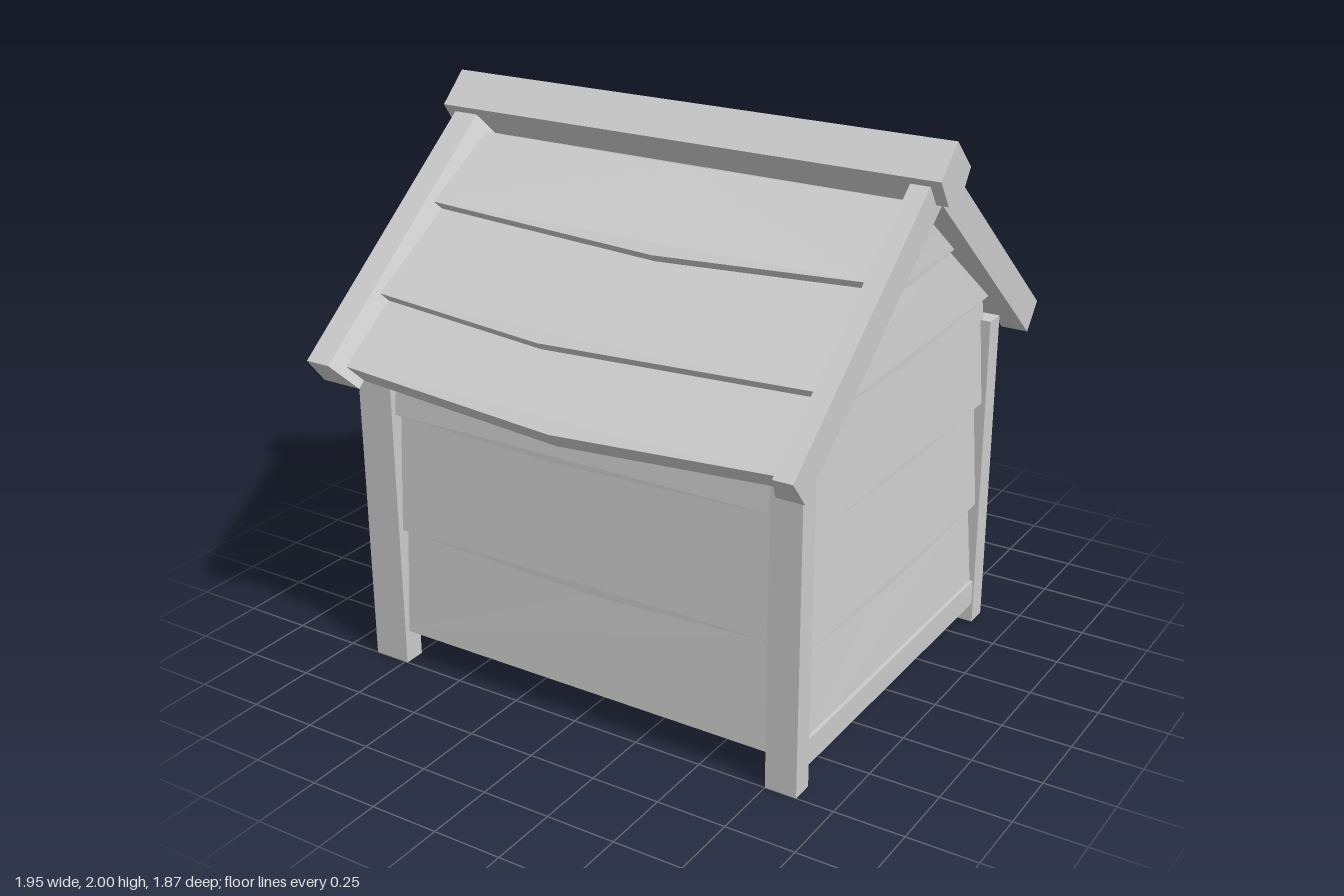
import * as THREE from 'three';

const mat = new THREE.MeshStandardMaterial({ color: 0xcccccc, flatShading: true });

function add(parent, name, geo) {
  const mesh = new THREE.Mesh(geo, mat);
  mesh.name = name;
  parent.add(mesh);
  return mesh;
}

function group(parent, name, x = 0, y = 0, z = 0, turn = 0) {
  const g = new THREE.Group();
  g.name = name;
  g.position.set(x, y, z);
  g.rotation.y = turn;
  parent.add(g);
  return g;
}

// box given by its limits on each axis
function block(parent, name, [x0, x1], [y0, y1], [z0, z1]) {
  const geo = new THREE.BoxGeometry(x1 - x0, y1 - y0, z1 - z0);
  geo.translate((x0 + x1) / 2, (y0 + y1) / 2, (z0 + z1) / 2);
  return add(parent, name, geo);
}

const shapeOf = pts => new THREE.Shape(pts.map(([x, y]) => new THREE.Vector2(x, y)));

// keep the part of a polygon where f(point) >= 0 (f is linear)
function clip(pts, f) {
  const out = [];
  pts.forEach((p, i) => {
    const q = pts[(i + 1) % pts.length], a = f(p), b = f(q);
    if (a >= 0) out.push(p);
    if (a * b < 0) {
      const t = a / (a - b);
      out.push([p[0] + t * (q[0] - p[0]), p[1] + t * (q[1] - p[1])]);
    }
  });
  return out;
}

// height of a bent edge [[u, v], [u, v], [u, v]] at u
function edgeAt([a, m, b], u) {
  const [p, q] = u < m[0] ? [a, m] : [m, b];
  return p[1] + (q[1] - p[1]) * (u - p[0]) / (q[0] - p[0]);
}

// lapped board: the outer face leans out towards its bevelled bottom edge
function plank(parent, name, outline, edge, height, { depth, lean, bevel }) {
  const geo = new THREE.ExtrudeGeometry(shapeOf(outline), { depth, bevelEnabled: false });
  const p = geo.attributes.position;
  for (let i = 0; i < p.count; i++) {
    if (p.getZ(i) < depth / 2) continue;
    const t = THREE.MathUtils.clamp((p.getY(i) - edgeAt(edge, p.getX(i))) / height, 0, 1);
    p.setZ(i, depth + lean * (1 - t));
    p.setY(i, p.getY(i) + bevel * (1 - t));
  }
  geo.computeVertexNormals();
  add(parent, name, geo);
}

// rows: [left v, middle u, middle v, right v] for each bottom edge, lowest first
function boards(parent, name, u0, u1, rows, top, style, cut = o => [o]) {
  const edges = rows.map(([l, mu, mv, r]) => [[u0, l], [mu, mv], [u1, r]]);
  edges.push([[u0, top], [(u0 + u1) / 2, top], [u1, top]]);
  for (let i = 0; i < rows.length; i++) {
    const last = i === rows.length - 1;
    const upper = edges[i + 1].map(([u, v]) => [u, v + (last ? 0 : 0.03)]);
    const outline = [...edges[i], ...upper.reverse()];
    const height = edges[i + 1][1][1] - edges[i][1][1];
    const s = i === 0 ? { ...style, lean: style.firstLean ?? style.lean } : style;
    for (const o of cut(outline, i, edges[i])) plank(parent, name, o, edges[i], height, s);
  }
}

// sloping edge board with a wider underside; its lower end is shifted by skew
function edgeBoard(parent, topA, topB, botA, botB, skew) {
  const len = 1.104, geo = new THREE.BoxGeometry(1, len, 0.122);
  geo.translate(0, -len / 2, 0.061);
  const p = geo.attributes.position;
  for (let i = 0; i < p.count; i++) {
    const upper = p.getZ(i) > 0.06, right = p.getX(i) > 0;
    const u = upper ? (right ? topB : topA) : (right ? botB : botA);
    p.setX(i, u + skew * -p.getY(i) / len);
  }
  geo.computeVertexNormals();
  add(parent, 'gableEdgeBoard', geo);
}

const underRoof = pts =>
  clip(clip(pts, ([u, v]) => 1.83 - 0.81 * u - v), ([u, v]) => 1.83 + 0.81 * u - v);

export function createModel() {
  const model = new THREE.Group();
  model.name = 'kennel';
  const siding = { depth: 0.05, lean: 0.03, bevel: 0.025 };
  const Q = Math.PI / 2;

  // corner posts and floor
  for (const xs of [[-0.88, -0.74], [0.75, 0.865]])
    for (const zs of [[0.67, 0.75], [-0.69, -0.61]]) block(model, 'cornerPost', xs, [0, 1.2], zs);
  block(model, 'floor', [-0.8, 0.8], [0.09, 0.14], [-0.63, 0.69]);
  block(model, 'baseBoard', [0.77, 0.86], [0.075, 0.17], [-0.61, 0.67]);
  block(model, 'baseBoard', [-0.87, -0.78], [0.075, 0.17], [-0.61, 0.67]);

  // long side walls
  const front = group(model, 'frontWall', 0, 0, 0.65);
  boards(front, 'wallPlank', -0.76, 0.77,
    [[0.095, 0, 0.095, 0.095], [0.5, 0.08, 0.47, 0.5], [0.94, -0.1, 0.917, 0.94]], 1.24, siding);
  const back = group(model, 'backWall', 0, 0, -0.59, Math.PI);
  boards(back, 'wallPlank', -0.77, 0.76,
    [[0.095, 0, 0.095, 0.095], [0.5, 0.08, 0.47, 0.5], [0.94, -0.1, 0.917, 0.94]], 1.24, siding);

  // closed gable wall
  const closed = group(model, 'closedGable', 0.77, 0, 0, Q);
  boards(closed, 'gablePlank', -0.69, 0.63,
    [[0.1, 0, 0.1, 0.1], [0.462, -0.1, 0.437, 0.462], [0.862, 0, 0.848, 0.862],
      [1.228, -0.05, 1.225, 1.27], [1.5, 0, 1.495, 1.56]], 1.9, siding, o => [underRoof(o)]);

  // gable wall with the doorway
  const arch = [[-0.33, 0.94], [-0.22, 1.12], [-0.08, 1.2], [0.08, 1.2], [0.22, 1.12], [0.33, 0.94]];
  const open = group(model, 'doorGable', -0.78, 0, 0, -Q);
  boards(open, 'gablePlank', -0.63, 0.69,
    [[0.1, 0, 0.1, 0.1], [0.462, 0.1, 0.437, 0.462], [0.862, 0, 0.848, 0.862],
      [1.25, 0.05, 1.225, 1.235], [1.53, 0, 1.495, 1.5]], 1.9, siding, (o, i, e) => {
      if (i < 2) return [clip(o, p => -0.33 - p[0]), clip(o, p => p[0] - 0.33)];
      if (i > 2) return [underRoof(o)];
      const foot = u => [u, edgeAt(e, u)];
      return [[o[0], foot(-0.33), ...arch, foot(0.33), ...o.slice(2)]];
    });

  // arched door frame
  const half = [[0.37, 0.17], [0.37, 0.95], [0.25, 1.16], [0.09, 1.25],
    [0.06, 1.17], [0.19, 1.1], [0.29, 0.92], [0.29, 0.17]];
  const mirror = half.map(([u, v]) => [-u, v]);
  const frame = [...half.slice(0, 4), ...mirror.slice(0, 4).reverse(),
    ...mirror.slice(4).reverse(), ...half.slice(4)];
  add(open, 'doorFrame', new THREE.ExtrudeGeometry(shapeOf(frame), { depth: 0.1, bevelEnabled: false }));

  // two roof slopes: lapped boards between the gable edge boards
  const roofing = { depth: 0.06, lean: 0.037, firstLean: 0.012, bevel: 0 };
  const slope = (name, turn) => {
    const g = group(group(model, name, 0, 1.79, 0, turn), name + 'Boards');
    g.rotation.x = -THREE.MathUtils.degToRad(51);
    return g;
  };
  const roofFront = slope('frontRoof', 0);
  boards(roofFront, 'roofPlank', -0.83, 0.86,
    [[-1.067, 0.05, -1.123, -1.067], [-0.785, -0.14, -0.835, -0.785], [-0.391, 0.1, -0.435, -0.385]],
    -0.05, roofing);
  edgeBoard(roofFront, -0.935, -0.84, -0.935, -0.78, 0);
  edgeBoard(roofFront, 0.86, 0.93, 0.83, 0.93, 0);
  const roofBack = slope('backRoof', Math.PI);
  boards(roofBack, 'roofPlank', -0.84, 0.84,
    [[-1.03, 0, -1.045, -1.035], [-0.765, 0.1, -0.805, -0.765], [-0.38, -0.1, -0.45, -0.38]],
    -0.05, roofing);
  edgeBoard(roofBack, -0.93, -0.86, -0.93, -0.83, 0.022);
  edgeBoard(roofBack, 0.84, 0.935, 0.78, 0.935, 0.028);

  // ridge beam
  const ridge = new THREE.ExtrudeGeometry(
    shapeOf([[0, 2], [-0.11, 1.895], [-0.045, 1.8], [0.045, 1.8], [0.11, 1.895]]),
    { depth: 1.945, bevelEnabled: false });
  ridge.translate(0, 0, -0.9725);
  add(model, 'ridgeBeam', ridge).rotation.y = Q;

  return model;
}
